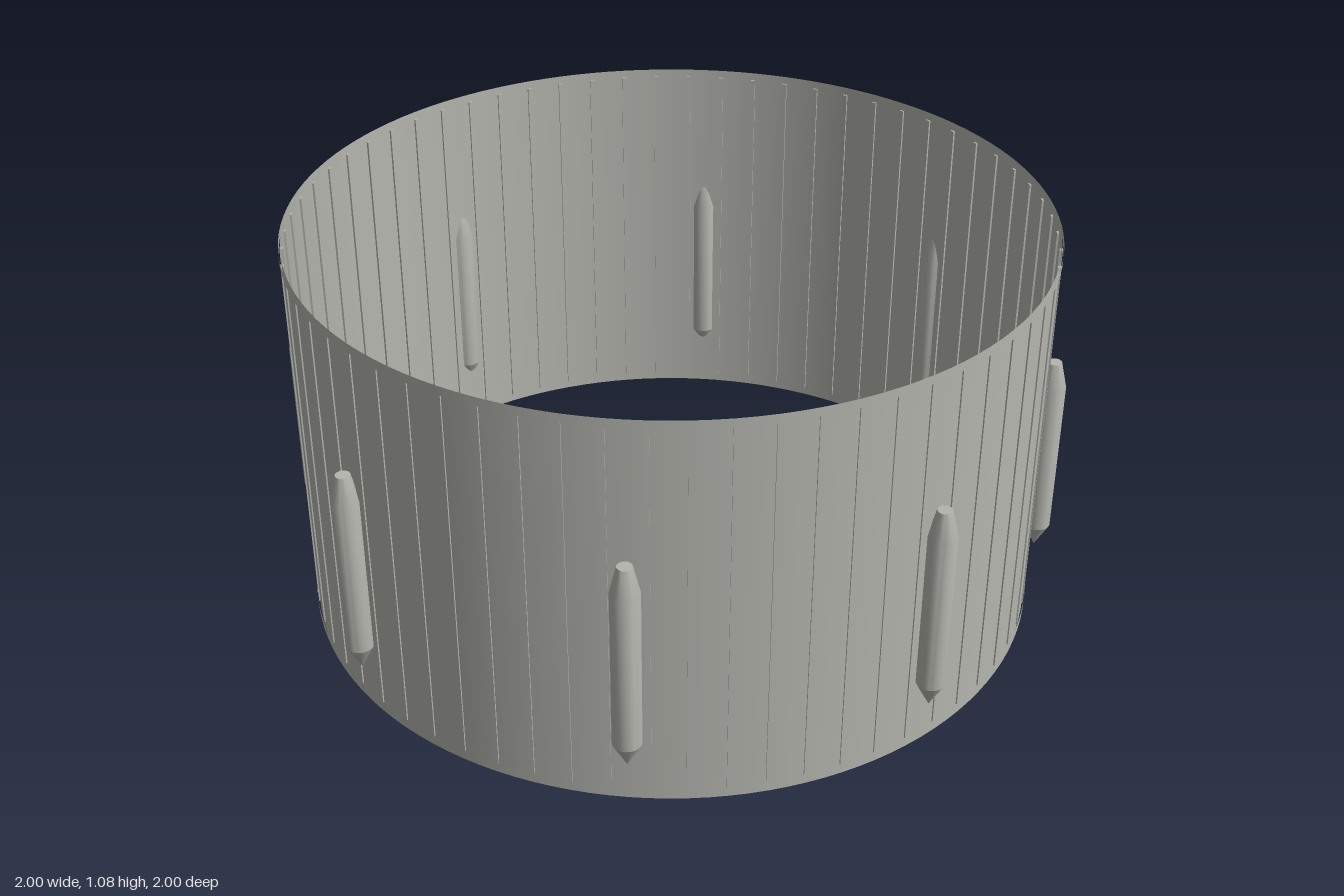
import * as THREE from 'three';
import { toCreasedNormals } from 'three/addons/utils/BufferGeometryUtils.js';

export function createModel() {
  const model = new THREE.Group();
  model.name = 'ringWall';
  const grey = new THREE.MeshStandardMaterial({ color: 0xb4b5ae, side: THREE.DoubleSide });
  grey.name = 'warm grey';

  const add = (name, geometry, parent = model) => {
    const mesh = new THREE.Mesh(geometry, grey);
    mesh.name = name;
    parent.add(mesh);
    return mesh;
  };
  // Open upright tube between two heights
  const tube = (radius, y0, y1) =>
    new THREE.CylinderGeometry(radius, radius, y1 - y0, 128, 1, true).translate(0, (y0 + y1) / 2, 0);

  // Thin open wall with a slightly proud band at each rim
  add('wall', tube(0.995, 0, 1.08));
  add('bottomBand', tube(1, 0, 0.025));
  add('topBand', tube(1, 1.06, 1.08));

  // Fine upright battens that show on both faces of the wall
  const battens = new THREE.Group();
  battens.name = 'battens';
  model.add(battens);
  const battenGeometry = new THREE.BoxGeometry(0.013, 1.035, 0.009).translate(0, 0.5425, 0.994);
  for (let i = 0; i < 64; i++) {
    add('batten', battenGeometry, battens).rotation.y = ((i + 0.5) / 64) * Math.PI * 2;
  }

  // Eight pointed pegs set into the wall
  const profile = [[0, 0.12], [0.037, 0.19], [0.037, 0.63], [0.019, 0.705], [0, 0.705]]
    .map(([r, y]) => new THREE.Vector2(r, y));
  const pegGeometry = toCreasedNormals(new THREE.LatheGeometry(profile, 20), 0.4).translate(0, 0, 1.016);
  const pegs = new THREE.Group();
  pegs.name = 'pegs';
  model.add(pegs);
  for (let i = 0; i < 8; i++) {
    add('peg', pegGeometry, pegs).rotation.y = ((i + 0.5) / 8) * Math.PI * 2;
  }
  return model;
}
